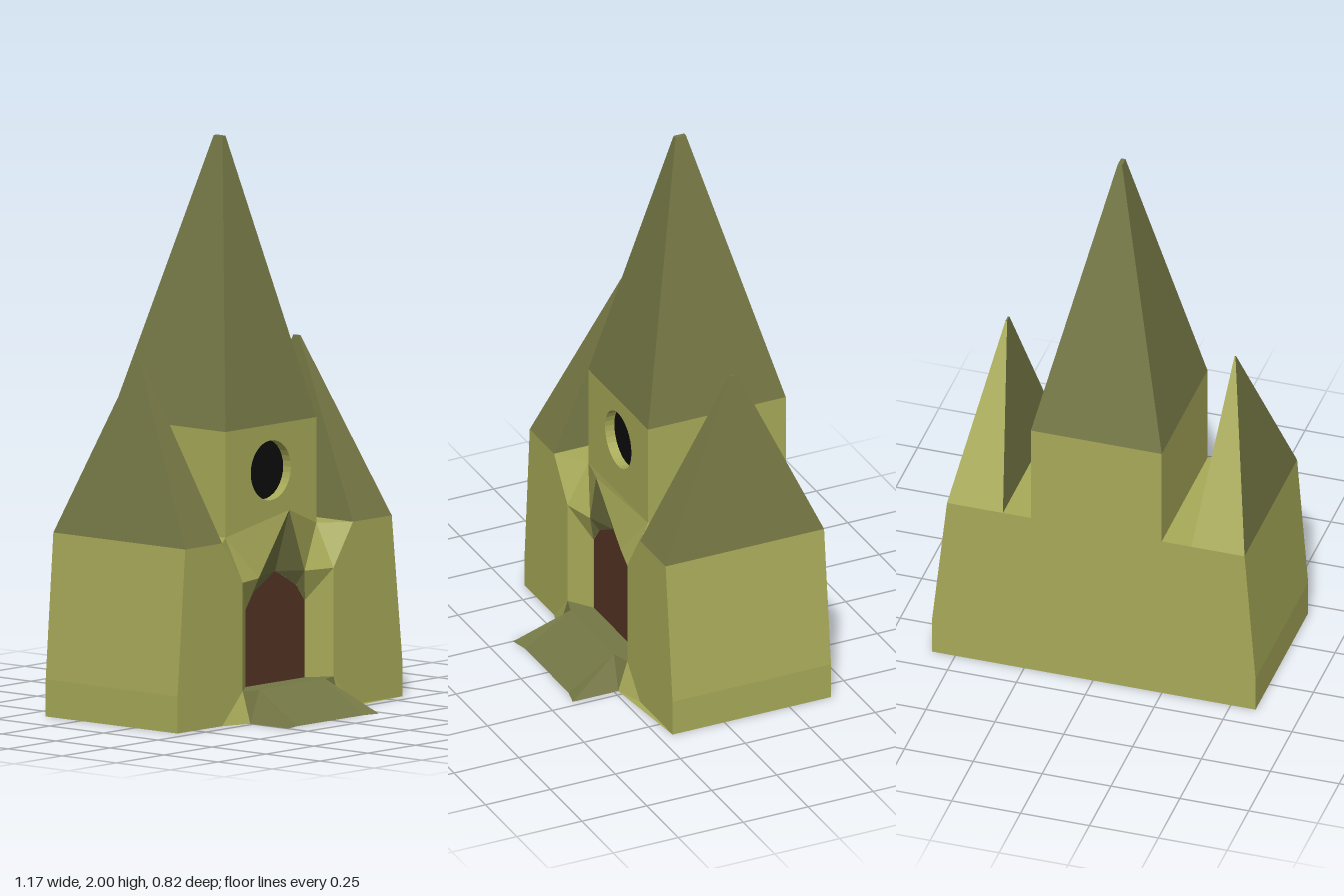
import * as THREE from 'three';

const CX = -0.012;              // centre line of the tower and doorway
const HALF = 0.2375;            // half width of the tower
const BACK = -0.41, MID = 0.12, FRONT = 0.2;

const flat = (name, color, side = THREE.FrontSide) => {
  const m = new THREE.MeshStandardMaterial({ color, side });
  m.name = name;
  return m;
};

// Flat-shaded mesh from convex polygons (corner lists, counterclockwise).
function facets(name, polygons, material) {
  const pos = [];
  for (const p of polygons)
    for (let i = 1; i < p.length - 1; i++) pos.push(...p[0], ...p[i], ...p[i + 1]);
  const g = new THREE.BufferGeometry();
  g.setAttribute('position', new THREE.Float32BufferAttribute(pos, 3));
  g.computeVertexNormals();
  const mesh = new THREE.Mesh(g, material);
  mesh.name = name;
  return mesh;
}

// Places centre-line polygons on one side (s = 1 or -1), keeping the winding.
const place = (polygons, s) => polygons.map((p) => {
  const q = p.map(([x, y, z]) => [CX + s * x, y, z]);
  return s < 0 ? q.reverse() : q;
});
const bothSides = (polygons) => [...place(polygons, 1), ...place(polygons, -1)];

function extrude(name, shape, z0, z1, material) {
  const g = new THREE.ExtrudeGeometry(shape, { depth: z1 - z0, bevelEnabled: false, curveSegments: 16 });
  g.translate(0, 0, z0);
  const mesh = new THREE.Mesh(g, material);
  mesh.name = name;
  return mesh;
}

const polygon = (pts) => new THREE.Shape(pts.map(([x, y]) => new THREE.Vector2(x, y)));

// Four-sided spire between two rectangles [x0, x1, z0, z1].
function spire(name, base, y0, tip, y1, material, backMaterial) {
  const ring = ([x0, x1, z0, z1], y) => [[x0, y, z1], [x1, y, z1], [x1, y, z0], [x0, y, z0]];
  const b = ring(base, y0), t = ring(tip, y1);
  const side = (i) => [b[i], b[(i + 1) % 4], t[(i + 1) % 4], t[i]];
  const group = new THREE.Group();
  group.name = name;
  group.add(facets(name + 'Slopes', [side(0), side(1), side(3), t], material));
  group.add(facets(name + 'Back', [side(2)], backMaterial));
  return group;
}

export function createModel() {
  const wall = flat('oliveWall', 0xa8aa58, THREE.DoubleSide);
  const roof = flat('darkOliveRoof', 0x747744, THREE.DoubleSide);
  const brown = flat('brownDoor', 0x553425);
  const black = flat('blackWindow', 0x0c0c0c);
  const model = new THREE.Group();
  model.name = 'chapel';

  // Main hall with tapering outer walls
  model.add(extrude('hall', polygon([
    [-0.59, 0], [0.585, 0], [0.585, 0.13], [0.53, 0.64], [-0.55, 0.64], [-0.59, 0.13],
  ]), BACK, MID, wall));

  // Tower core and its front slab with the round opening
  const x0 = CX - HALF, x1 = CX + HALF;
  const block = [[x0, 0.63], [x1, 0.63], [x1, 1.01], [x0, 1.01]];
  model.add(extrude('tower', polygon(block), BACK, MID - 0.04, wall));
  const slab = polygon(block);
  slab.holes.push(new THREE.Path().absarc(CX, 0.85, 0.105, 0, Math.PI * 2, true));
  model.add(extrude('towerFront', slab, MID - 0.04, MID, wall));
  const pane = new THREE.Mesh(new THREE.CircleGeometry(0.107, 32), black);
  pane.name = 'roundWindow';
  pane.position.set(CX, 0.85, MID - 0.036);
  model.add(pane);

  // Spires
  model.add(spire('towerSpire', [x0, x1, BACK, MID], 1.01, [-0.02, -0.004, -0.137, -0.097], 2, roof, roof));
  model.add(spire('rightSpire', [-0.55, -0.357, BACK, FRONT], 0.64, [-0.429, -0.425, -0.128, -0.122], 1.27, roof, wall));
  model.add(spire('leftSpire', [0.327, 0.53, BACK, FRONT], 0.64, [0.397, 0.403, -0.138, -0.11], 1.255, roof, wall));

  // Front wings: [side, outer base, outer top, inner spire edge] from the centre line
  for (const [s, b, t, i] of [[1, 0.597, 0.542, 0.339], [-1, 0.578, 0.538, 0.345]]) {
    model.add(facets(s > 0 ? 'leftWing' : 'rightWing', place([
      [[b, 0, FRONT], [b, 0.13, FRONT], [t, 0.64, FRONT], [i, 0.64, FRONT],
        [HALF, 0.49, FRONT], [HALF, 0.11, FRONT], [i, 0, FRONT]],
      [[i, 0.64, FRONT], [HALF, 0.64, MID], [HALF, 0.49, FRONT]],
      [[i, 0, FRONT], [HALF, 0.11, FRONT], [HALF, 0, 0.235]],
      [[i, 0.64, FRONT], [i, 0.64, MID], [HALF, 0.64, MID]],
      [[b, 0, FRONT], [b, 0, MID], [b, 0.13, MID], [b, 0.13, FRONT]],
      [[b, 0.13, FRONT], [b, 0.13, MID], [t, 0.64, MID], [t, 0.64, FRONT]],
      [[b, 0, FRONT], [i, 0, FRONT], [HALF, 0, 0.235], [HALF, 0, MID], [b, 0, MID]],
    ], s), wall));
  }

  // Doorway: faceted hood, splayed jambs and pointed arch
  const peak = [0, 0.72, 0.205], eave = [HALF, 0.64, MID], brow = [0.12, 0.49, 0.17];
  const jambTop = [HALF, 0.49, FRONT], spring = [0.155, 0.38, 0.14];
  const haunch = [0.11, 0.44, 0.14], crown = [0, 0.5, 0.14];
  model.add(facets('doorHood', [
    ...bothSides([[peak, brow, eave], [eave, brow, jambTop], [jambTop, brow, spring]]),
    ...place([[peak, eave, [-HALF, 0.64, MID]]], 1),
  ], wall));
  model.add(facets('doorJambs', bothSides([
    [jambTop, spring, [0.155, 0.11, 0.14], [HALF, 0.11, FRONT]],
  ]), wall));
  model.add(facets('archFace', bothSides([
    [peak, crown, brow], [brow, crown, haunch], [brow, haunch, spring],
  ]), roof));
  const half = [[0.155, 0.11], [0.155, 0.38], [0.11, 0.44], [0, 0.5]];
  const outline = [...half, ...half.slice(0, 3).reverse().map(([x, y]) => [-x, y])];
  const door = new THREE.Mesh(new THREE.ShapeGeometry(polygon(outline)), brown);
  door.name = 'door';
  door.position.set(CX, 0, 0.139);
  model.add(door);

  // Doorstep and flared ramp, open underneath
  const lip = [0.173, 0.11, 0.22], toe = [HALF, 0, 0.41];
  model.add(facets('doorstepRamp', [
    ...place([
      [[-HALF, 0.11, FRONT], [-0.173, 0.11, 0.22], lip, [HALF, 0.11, FRONT], [0.155, 0.11, 0.13], [-0.155, 0.11, 0.13]],
      [[-0.173, 0, 0.395], [0.173, 0, 0.395], lip, [-0.173, 0.11, 0.22]],
    ], 1),
    ...bothSides([
      [[0.173, 0, 0.395], toe, lip],
      [lip, toe, [HALF, 0, 0.235]],
      [lip, [HALF, 0, 0.235], [HALF, 0.11, FRONT]],
    ]),
  ], roof));

  return model;
}
